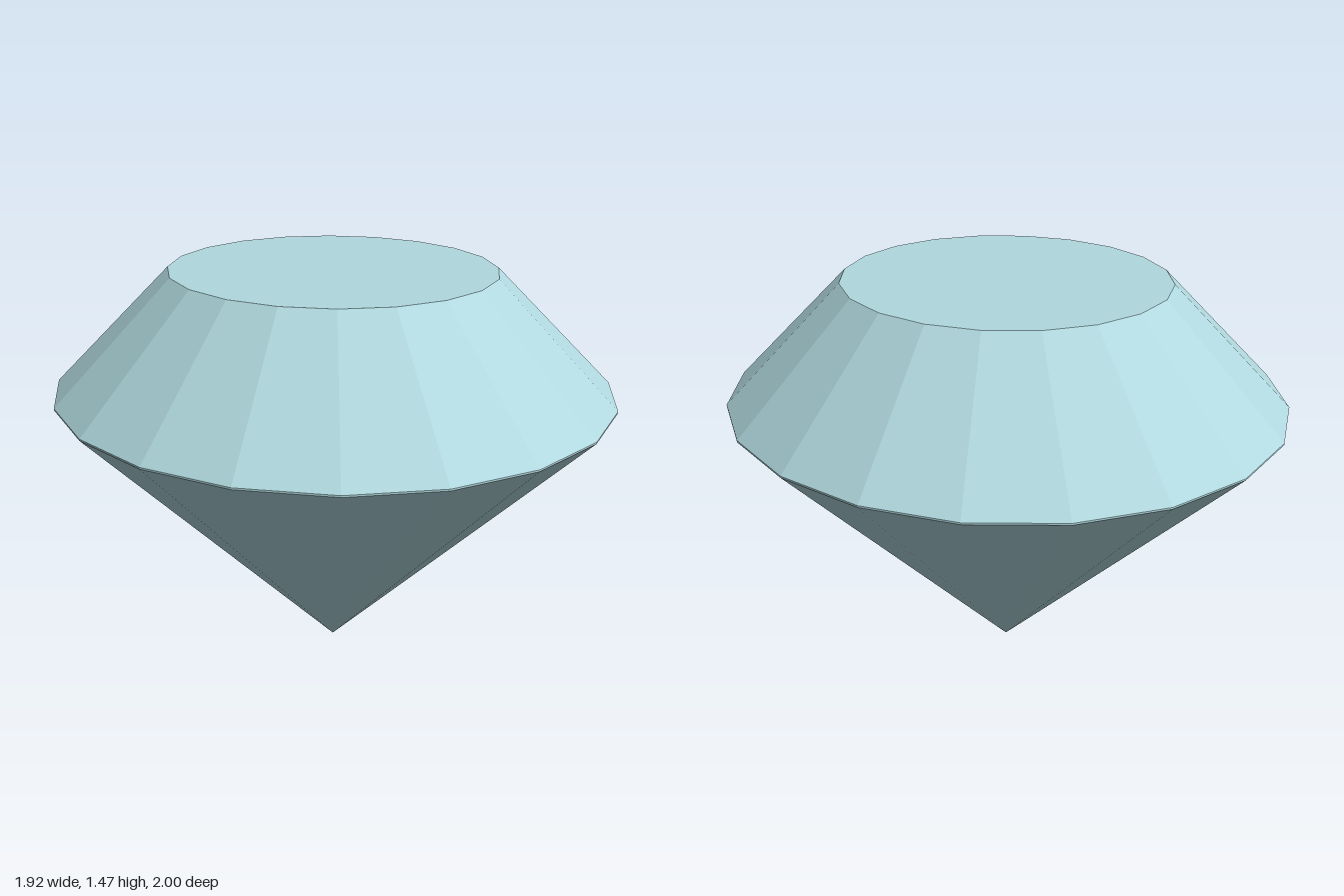
import * as THREE from 'three';

const SIDES = 20;
const X_SCALE = 0.96; // the outline is slightly oval

export function createModel() {
  const group = new THREE.Group();
  group.name = 'cutGem';
  const paleBlue = new THREE.MeshStandardMaterial({ color: 0xb0d8de, flatShading: true });
  paleBlue.name = 'paleBlue';

  // One faceted ring between two heights
  const addRing = (name, rTop, rBottom, y0, y1) => {
    const geo = new THREE.CylinderGeometry(rTop, rBottom, y1 - y0, SIDES, 1, true);
    geo.translate(0, (y0 + y1) / 2, 0);
    geo.scale(X_SCALE, 1, 1);
    const mesh = new THREE.Mesh(geo, paleBlue);
    mesh.name = name;
    group.add(mesh);
  };

  addRing('pavilion', 1, 0, 0, 1.05);        // pointed lower cone
  addRing('girdle', 1, 1, 1.05, 1.056);      // thin widest band
  addRing('crown', 0.577, 1, 1.056, 1.468);  // sloping upper facets

  // Flat top, with its corners on the crown's corners
  const tableGeo = new THREE.CircleGeometry(0.577, SIDES);
  tableGeo.rotateX(-Math.PI / 2);
  tableGeo.scale(X_SCALE, 1, 1);
  tableGeo.translate(0, 1.468, 0);
  const table = new THREE.Mesh(tableGeo, paleBlue);
  table.name = 'table';
  group.add(table);

  return group;
}
